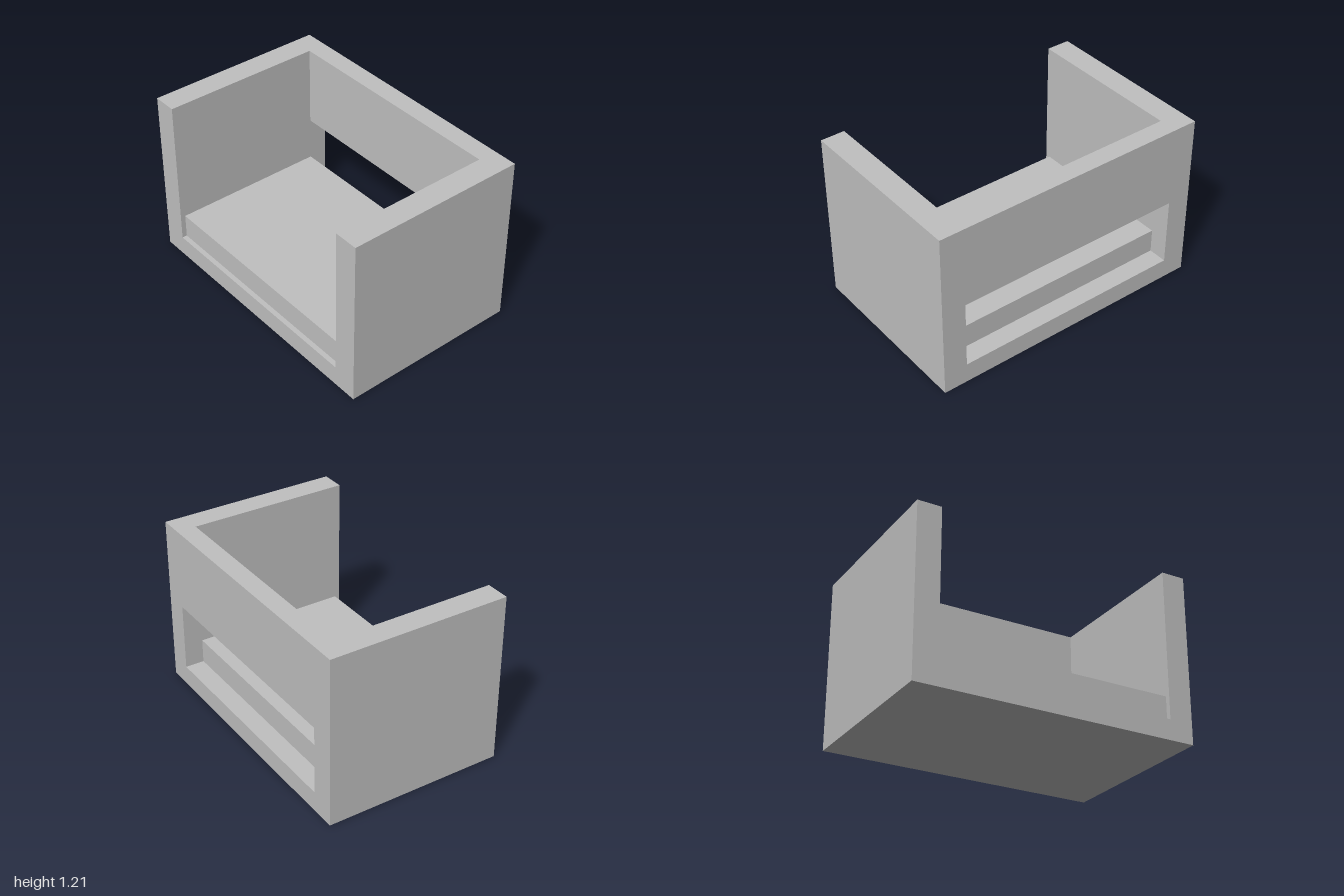
import * as THREE from 'three';

const W = 1, H = 1.205, D = 0.638;   // half width, height, half depth
const INNER = 0.83;                  // half width between the arms
const BASE = 0.143;                  // top of the base
const BACK = -0.502;                 // inner face of the backrest

export function createModel() {
  const group = new THREE.Group();
  const grey = new THREE.MeshStandardMaterial({ color: 0xc0c0c0 });
  grey.name = 'lightGrey';

  const add = (name, geometry) => {
    const mesh = new THREE.Mesh(geometry, grey);
    mesh.name = name;
    group.add(mesh);
    return mesh;
  };
  // Box given by its lower and upper corners
  const block = (name, [x0, y0, z0], [x1, y1, z1]) =>
    add(name, new THREE.BoxGeometry(x1 - x0, y1 - y0, z1 - z0))
      .position.set((x0 + x1) / 2, (y0 + y1) / 2, (z0 + z1) / 2);

  // U-shaped frame: both arms and the base in one piece
  const profile = new THREE.Shape([
    [-W, 0], [W, 0], [W, H], [INNER, H],
    [INNER, BASE], [-INNER, BASE], [-INNER, H], [-W, H],
  ].map(([x, y]) => new THREE.Vector2(x, y)));
  add('armsAndBase', new THREE.ExtrudeGeometry(profile, { depth: 2 * D, bevelEnabled: false }))
    .position.z = -D;

  // Backrest, with an open slot left below it
  block('backrest', [-INNER, 0.63, -D], [INNER, H, BACK]);

  // Seat cushion, set back slightly from the front edge
  block('seatCushion', [-INNER, BASE, BACK], [INNER, 0.315, 0.603]);

  return group;
}
